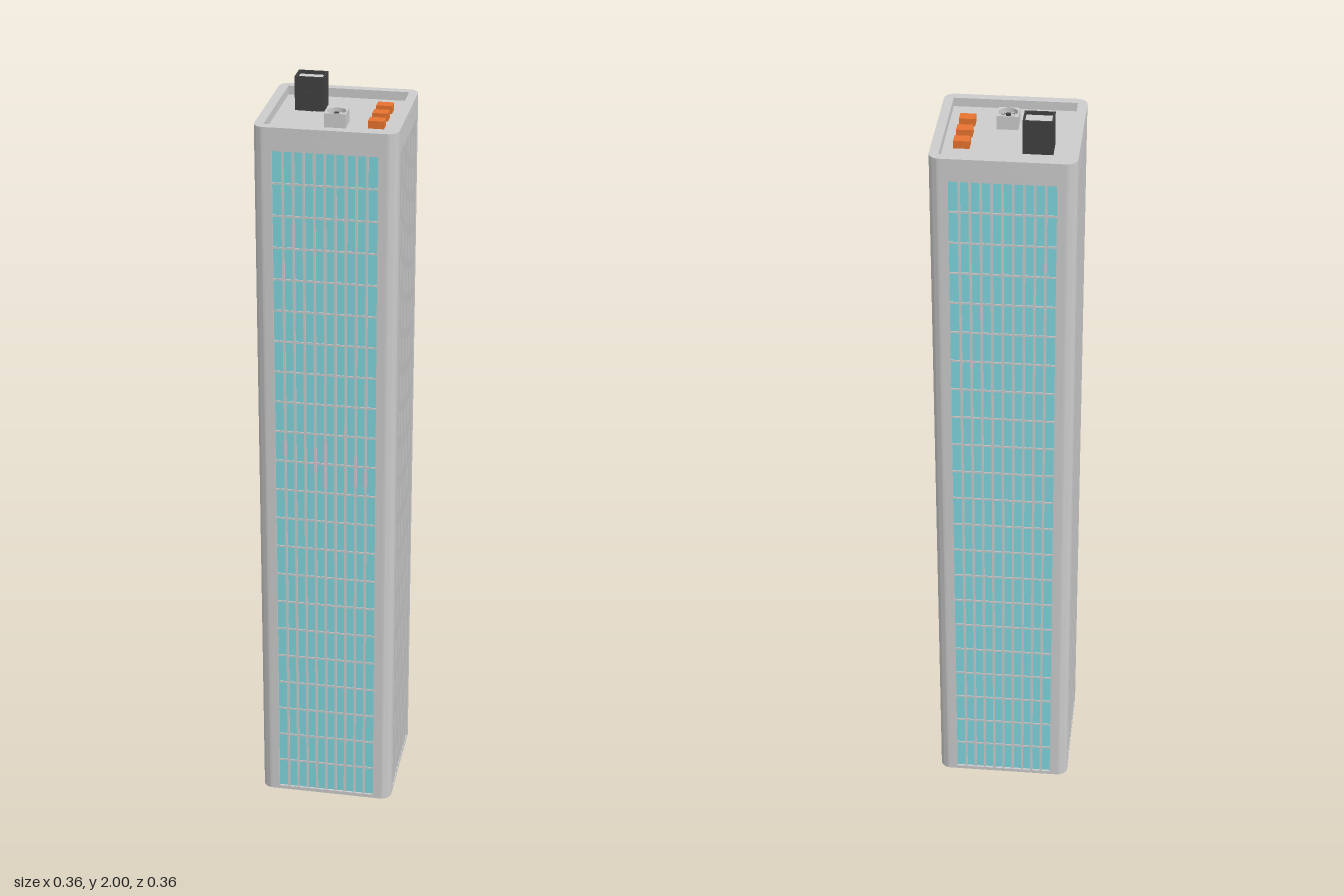
import * as THREE from 'three';
import { toCreasedNormals } from 'three/addons/utils/BufferGeometryUtils.js';

const mat = (color) => new THREE.MeshStandardMaterial({ color });
const HALF = 0.18, RADIUS = 0.028, BAY = 0.132, DEPTH = 0.008;
const BASE = 0.01, BAY_TOP = 1.875, ROOF = 1.912, TOP = 1.935;

export function createModel() {
  const grey = mat(0xcccccc), glass = mat(0x7fd6de), dark = mat(0x404040), orange = mat(0xe8732f);
  const tower = new THREE.Group();
  tower.name = 'tower';

  function add(parent, name, geometry, material, x = 0, y = 0, z = 0) {
    const mesh = new THREE.Mesh(geometry, material);
    mesh.name = name;
    mesh.position.set(x, y, z);
    parent.add(mesh);
    return mesh;
  }
  const box = (w, h, d) => new THREE.BoxGeometry(w, h, d);

  // Plan outline with rounded corners; notch > 0 sinks a bay into each side
  function plan(notch) {
    const s = new THREE.Shape();
    const e = HALF - RADIUS;
    for (let i = 0; i < 4; i++) {
      const a = i * Math.PI / 2, c = Math.round(Math.cos(a)), n = Math.round(Math.sin(a));
      const to = (u, v) => s[i === 0 && s.curves.length === 0 && !s.started ? 'moveTo' : 'lineTo'](u * c - v * n, u * n + v * c);
      if (i === 0) { to(HALF, -e); s.started = true; } else to(HALF, -e);
      if (notch > 0) {
        to(HALF, -BAY);
        to(HALF - notch, -BAY);
        to(HALF - notch, BAY);
        to(HALF, BAY);
      }
      to(HALF, e);
      s.absarc(e * c - e * n, e * n + e * c, RADIUS, a, a + Math.PI / 2, false);
    }
    return s;
  }
  function rect(w, d) {
    return new THREE.Shape([[-w, -d], [w, -d], [w, d], [-w, d]].map(([x, y]) => new THREE.Vector2(x / 2, y / 2)));
  }
  // Upright extrusion of a plan shape
  function rise(shape, height) {
    const g = new THREE.ExtrudeGeometry(shape, { depth: height, bevelEnabled: false, curveSegments: 8 });
    return toCreasedNormals(g.rotateX(-Math.PI / 2), 0.6);
  }

  // Structure: base, shaft with sunken bays, roof slab and parapet
  add(tower, 'base', rise(plan(0), BASE), grey);
  add(tower, 'shaft', rise(plan(DEPTH), BAY_TOP - BASE), grey, 0, BASE);
  add(tower, 'roofSlab', rise(plan(0), ROOF - BAY_TOP), grey, 0, BAY_TOP);
  const rim = plan(0);
  rim.holes.push(rect(0.312, 0.312));
  add(tower, 'parapet', rise(rim, TOP - ROOF), grey, 0, ROOF);

  // Glazed facade: glass sheet, vertical fins and floor bars, repeated on four sides
  const columns = 10, floors = 22;
  const height = BAY_TOP - BASE, middle = (BAY_TOP + BASE) / 2, pitch = 2 * BAY / columns;
  const glassGeo = box(2 * BAY, height, 0.004);
  const finGeo = box(0.006, height, 0.006);
  const barGeo = box(2 * BAY, 0.005, 0.004);
  for (let side = 0; side < 4; side++) {
    const facade = new THREE.Group();
    facade.name = 'facade';
    facade.rotation.y = side * Math.PI / 2;
    add(facade, 'glass', glassGeo, glass, 0, middle, HALF - 0.008);
    for (let i = 1; i < columns; i++) {
      add(facade, 'fin', finGeo, grey, -BAY + i * pitch, middle, HALF - 0.004);
    }
    for (let j = 1; j < floors; j++) {
      add(facade, 'floorBar', barGeo, grey, 0, BASE + j * height / floors, HALF - 0.006);
    }
    tower.add(facade);
  }

  // Stair house with raised edge and door
  const house = new THREE.Group();
  house.name = 'stairHouse';
  house.position.set(-0.0775, ROOF, -0.061);
  const houseRim = rect(0.075, 0.058);
  houseRim.holes.push(rect(0.066, 0.049));
  add(house, 'stairHouseWalls', rise(houseRim, 2 - ROOF), dark);
  add(house, 'stairHouseRoof', box(0.068, 0.006, 0.051), grey, 0, 0.076, 0);
  add(house, 'door', box(0.02, 0.05, 0.003), dark, 0, 0.025, 0.0295);
  tower.add(house);

  // Ventilation unit with round opening and fan
  const vent = new THREE.Group();
  vent.name = 'ventilationUnit';
  vent.position.set(0.009, ROOF, 0.062);
  const casing = rect(0.054, 0.051);
  casing.holes.push(new THREE.Path().absarc(0, 0, 0.024, 0, Math.PI * 2, true));
  add(vent, 'ventCasing', rise(casing, 0.036), grey);
  add(vent, 'fanWell', new THREE.CylinderGeometry(0.0245, 0.0245, 0.022, 24), dark, 0, 0.011, 0);
  add(vent, 'fanHub', new THREE.CylinderGeometry(0.006, 0.006, 0.008, 12), dark, 0, 0.028, 0);
  const bladeGeo = box(0.017, 0.002, 0.0025).translate(0.0135, 0, 0);
  for (let i = 0; i < 12; i++) {
    add(vent, 'fanBlade', bladeGeo, grey, 0, 0.026, 0).rotation.y = i * Math.PI / 6;
  }
  tower.add(vent);

  // Row of low roof units
  for (const z of [-0.061, 0, 0.062]) {
    add(tower, 'roofUnit', box(0.04, 0.02, 0.031), orange, 0.11, ROOF + 0.01, z);
  }
  return tower;
}
